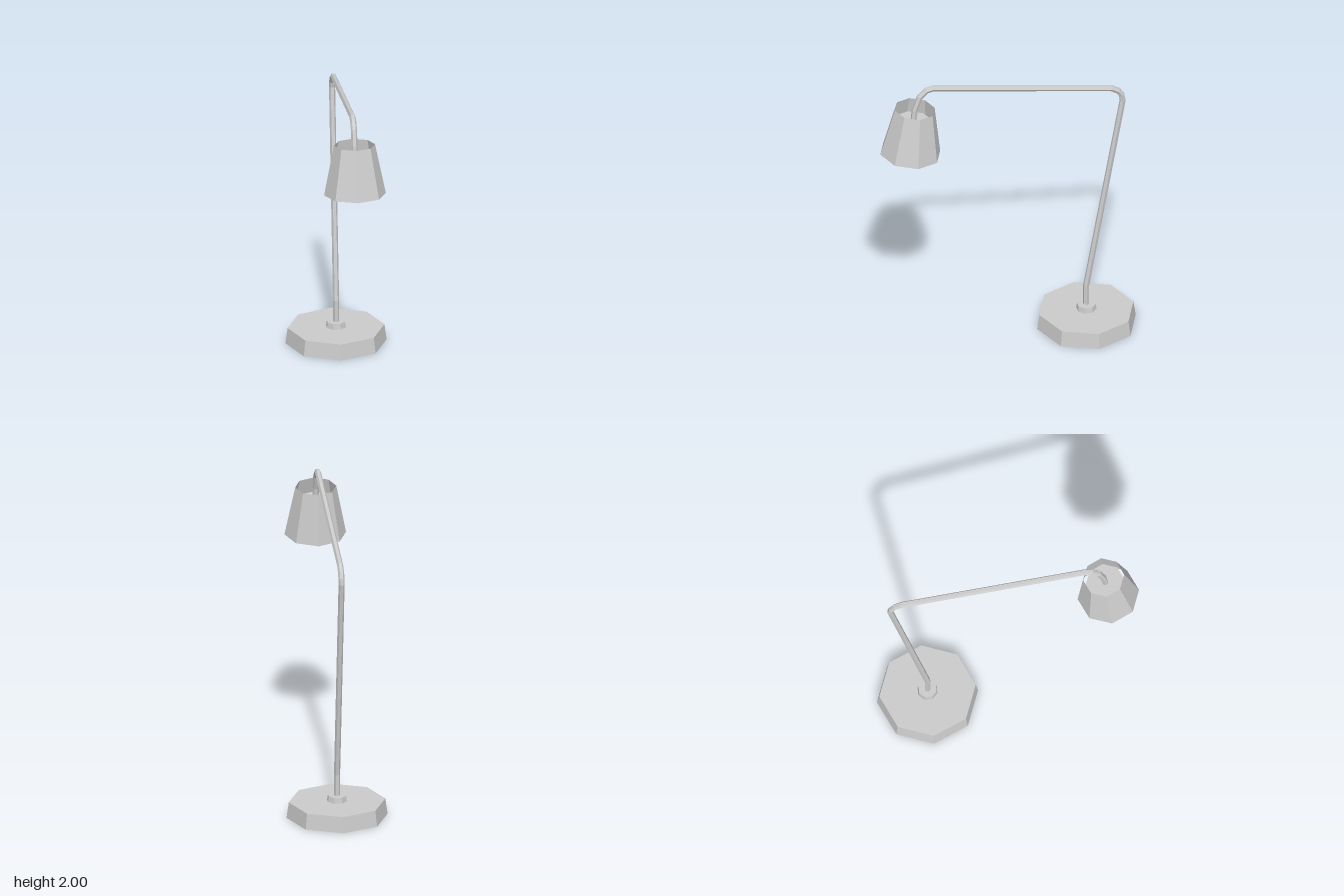
import * as THREE from 'three';

const material = new THREE.MeshStandardMaterial({ color: 0xcccccc, flatShading: true });
const thinMaterial = new THREE.MeshStandardMaterial({ color: 0xcccccc, flatShading: true, side: THREE.DoubleSide });

function add(parent, name, geometry, y, mat = material) {
  const mesh = new THREE.Mesh(geometry, mat);
  mesh.name = name;
  mesh.position.y = y;
  parent.add(mesh);
  return mesh;
}

// Sweeps a polygon along [z, y] points in the x = 0 plane, with mitred bends
function sweep(path, radius, sides) {
  const pts = path.map(([z, y]) => new THREE.Vector3(0, y, z));
  const dir = (i) => pts[i + 1].clone().sub(pts[i]).normalize();
  const last = pts.length - 1;
  const rings = pts.map((p, i) => {
    const before = dir(Math.max(i - 1, 0));
    const after = dir(Math.min(i, last - 1));
    const t = before.clone().add(after).normalize();
    const normal = new THREE.Vector3(0, t.z, -t.y).divideScalar(t.dot(after));
    return Array.from({ length: sides }, (_, j) => {
      const a = (j / sides) * Math.PI * 2;
      return p.clone().addScaledVector(normal, radius * Math.sin(a)).setX(radius * Math.cos(a));
    });
  });
  const corners = [];
  for (let i = 0; i < last; i++) {
    for (let j = 0; j < sides; j++) {
      const k = (j + 1) % sides;
      const [a, b, c, d] = [rings[i][j], rings[i][k], rings[i + 1][k], rings[i + 1][j]];
      corners.push(a, b, c, a, c, d);
    }
  }
  const geometry = new THREE.BufferGeometry().setFromPoints(corners);
  geometry.computeVertexNormals();
  return geometry;
}

export function createModel() {
  const lamp = new THREE.Group();
  lamp.name = 'deskLamp';

  // Weighted foot and the collar that holds the pole
  const foot = new THREE.Group();
  foot.name = 'foot';
  foot.position.z = -0.523;
  lamp.add(foot);
  add(foot, 'base', new THREE.CylinderGeometry(0.313, 0.328, 0.105, 8), 0.0525);
  add(foot, 'collar', new THREE.CylinderGeometry(0.061, 0.067, 0.04, 8), 0.122).rotation.y = Math.PI / 8;

  // Bent pole and arm in one piece
  const path = [
    [-0.522, 0.1], [-0.522, 0.285], [-0.765, 1.675], [-0.758, 1.715], [-0.735, 1.75],
    [-0.69, 1.777], [0.497, 1.98], [0.542, 1.97], [0.588, 1.925], [0.62, 1.83], [0.633, 1.7],
  ];
  add(lamp, 'arm', sweep(path, 0.02, 6), 0);

  // Tilted head: origin is the centre of the shade's upper rim
  const head = new THREE.Group();
  head.name = 'head';
  head.position.set(0, 1.839, 0.62);
  head.rotation.x = -0.09;
  lamp.add(head);
  add(head, 'shade', new THREE.CylinderGeometry(0.133, 0.2, 0.332, 8, 1, true), -0.166, thinMaterial);
  add(head, 'shadePlate', new THREE.CylinderGeometry(0.127, 0.127, 0.008, 8), -0.1);
  add(head, 'socket', new THREE.CylinderGeometry(0.042, 0.042, 0.14, 8), -0.172);

  return lamp;
}
